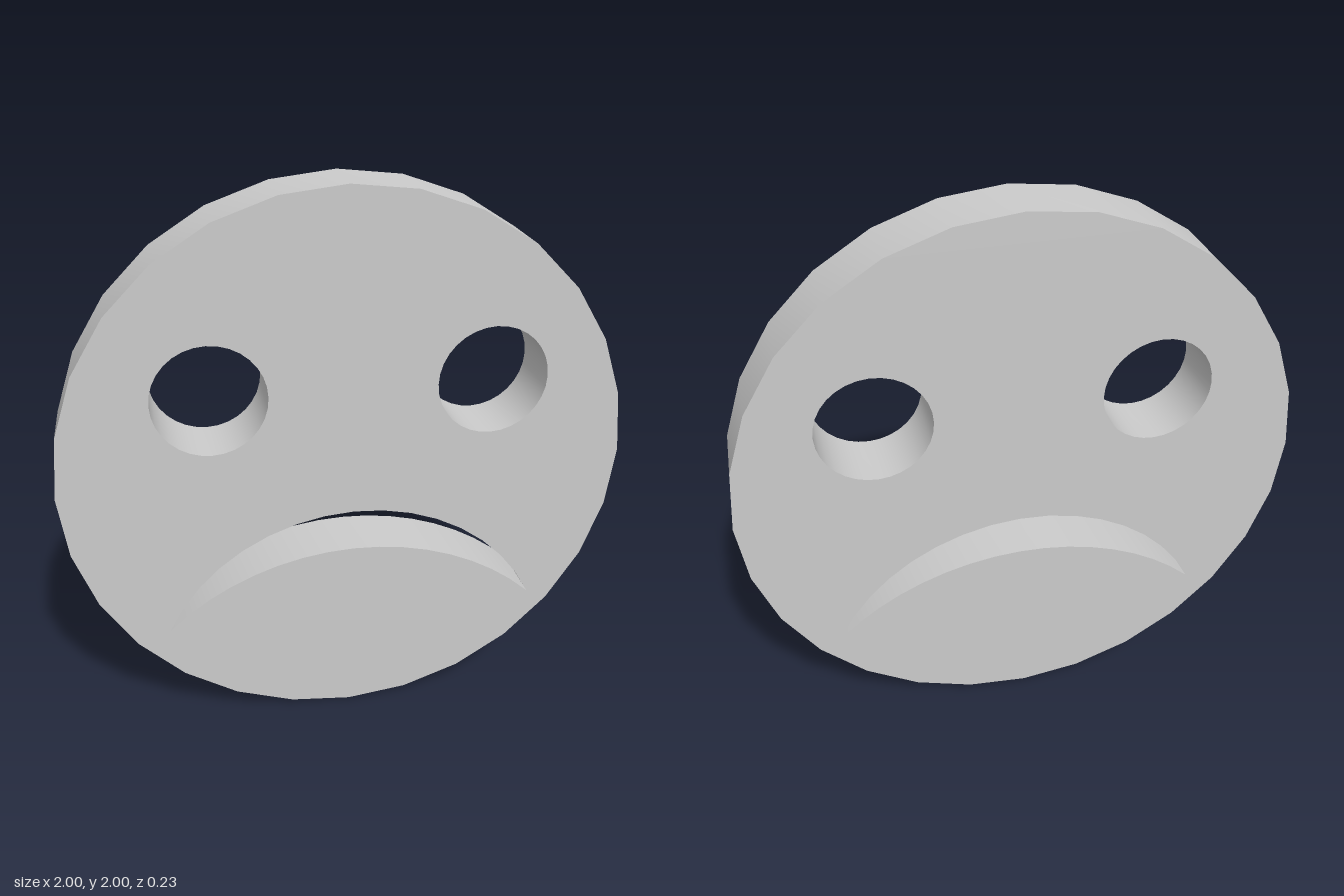
import * as THREE from 'three';
import { toCreasedNormals } from 'three/addons/utils/BufferGeometryUtils.js';

const DEPTH = 0.23;

// Points along a circular arc, both ends included
function arc(cx, cy, r, from, to, steps) {
  return Array.from({ length: steps + 1 }, (_, i) => {
    const a = from + ((to - from) * i) / steps;
    return new THREE.Vector2(cx + r * Math.cos(a), cy + r * Math.sin(a));
  });
}

const circle = (cx, cy, r, steps) => arc(cx, cy, r, 0, Math.PI * 2, steps).slice(0, -1);

// Arched curve through two corners at the given height, peaking at topY
function arch(cx, cornerY, halfWidth, topY, steps) {
  const rise = topY - cornerY;
  const r = (halfWidth ** 2 + rise ** 2) / (2 * rise);
  const half = Math.asin(halfWidth / r);
  return arc(cx, topY - r, r, Math.PI / 2 + half, Math.PI / 2 - half, steps);
}

export function createModel() {
  const group = new THREE.Group();
  group.name = 'frowningFace';

  // Round face plate
  const face = new THREE.Shape(circle(0, 1, 1, 28));

  // Eye holes
  for (const x of [-0.47, 0.505]) face.holes.push(new THREE.Path(circle(x, 1.312, 0.196, 32)));

  // Crescent mouth hole, turned down
  const upper = arch(0.018, 0.417, 0.682, 0.845, 16);
  const lower = arch(0.018, 0.417, 0.682, 0.69, 16).reverse().slice(1, -1);
  face.holes.push(new THREE.Path([...upper, ...lower]));

  const geometry = new THREE.ExtrudeGeometry(face, { depth: DEPTH, bevelEnabled: false });
  geometry.translate(0, 0, -DEPTH / 2);

  const plate = new THREE.Mesh(
    toCreasedNormals(geometry, 0.6),
    new THREE.MeshStandardMaterial({ color: 0xcccccc })
  );
  plate.name = 'facePlate';
  group.add(plate);
  return group;
}
